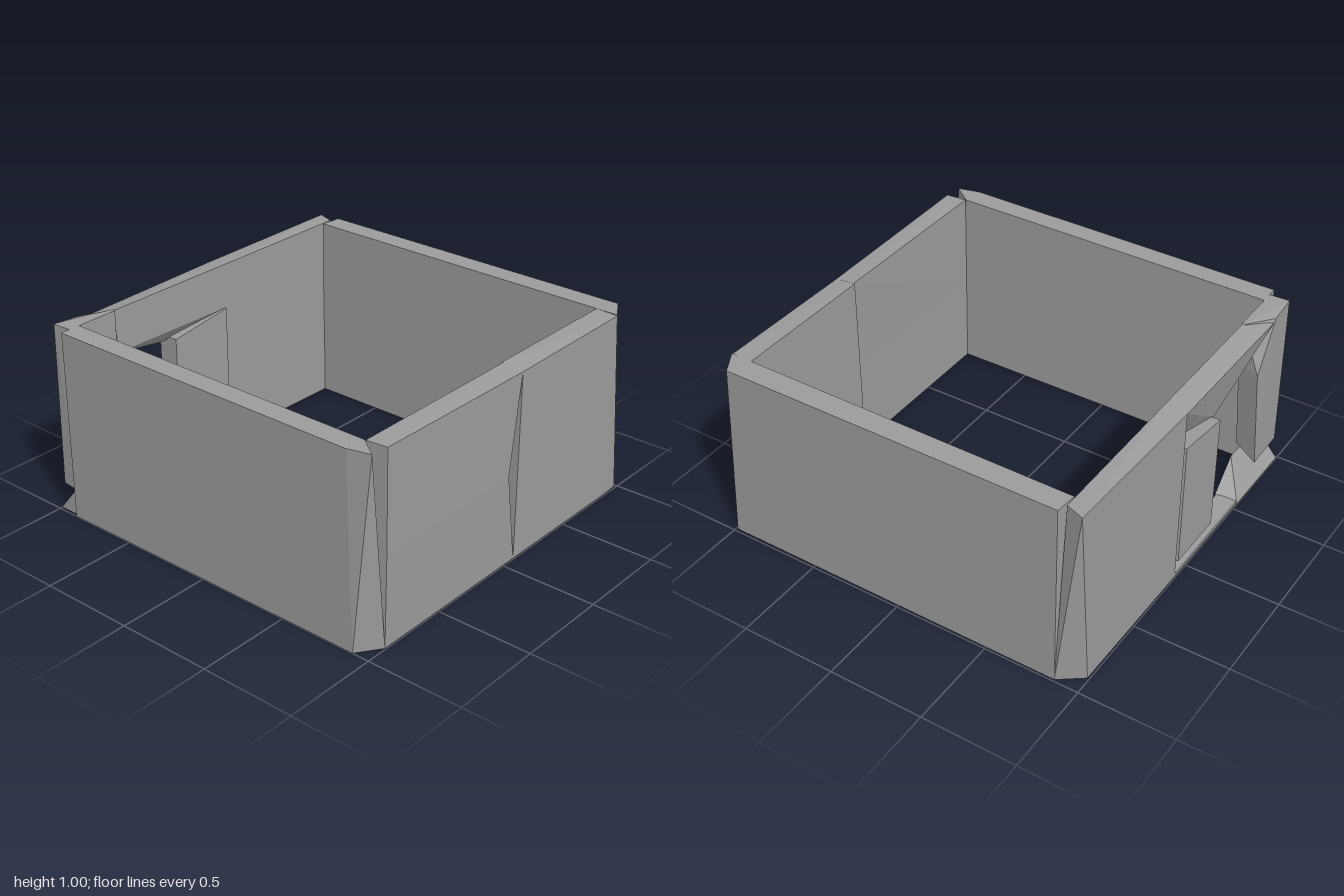
import * as THREE from 'three';
import { ConvexGeometry } from 'three/addons/geometries/ConvexGeometry.js';

export function createModel() {
  const group = new THREE.Group();
  const material = new THREE.MeshStandardMaterial({ color: 0x9b9b9b, flatShading: true });

  // Faceted slab spanning the given corner points
  const slab = (name, corners) => {
    const points = corners.map((c) => new THREE.Vector3(...c));
    const mesh = new THREE.Mesh(new ConvexGeometry(points), material);
    mesh.name = name;
    group.add(mesh);
  };
  // The same plan outline [x, z] repeated at two heights
  const upright = (plan, y0 = 0, y1 = 1) => plan.flatMap(([x, z]) => [[x, y0, z], [x, y1, z]]);
  const rect = (x0, x1, z0, z1) => [[x0, z0], [x1, z0], [x1, z1], [x0, z1]];

  // Side walls with skewed, chipped front corners
  slab('leftWall', [
    ...upright([[-1, -0.88], [-0.89, -0.88], [-0.89, 0.88]]),
    [-1, 1, 0.87], [-0.97, 1, 0.985], [-1, 0, 0.91], [-0.88, 0, 0.995],
  ]);
  slab('rightWall', [
    ...upright([[0.99, -0.87], [0.875, -0.88], [0.875, 0.88], [0.87, 0.995]]),
    [0.99, 1, 0.925], [0.985, 0, 0.99],
  ]);

  // Front wall: two panels, the left one with a bent seam edge
  slab('frontRightPanel', [
    ...upright([[0.085, 0.878], [0.875, 0.878]]),
    [0.085, 0, 0.995], [0.875, 0, 0.995], [0.085, 0.987, 0.995], [0.875, 0.995, 0.995],
  ]);
  for (const [name, y, seamY] of [['frontLeftPanelTop', 1, 0.987], ['frontLeftPanelBottom', 0, 0]]) {
    slab(name, [
      [-0.88, y, 0.995], [0.085, seamY, 0.995], [0.085, y, 0.885], [-0.89, y, 0.885],
      [-0.88, 0.48, 0.998], [0.01, 0.48, 0.998], [0.085, 0.48, 0.89], [-0.89, 0.48, 0.885],
    ]);
  }

  // Solid part of the back wall, with a chipped outer corner
  slab('backWall', [
    ...upright([[0.875, -0.885], [0.1, -0.885]]),
    [0.1, 0, -0.995], [0.1, 0.985, -0.995], [0.975, 1, -0.98], [0.94, 1, -0.885],
    [0.9, 0, -0.99], [0.99, 0, -0.87],
  ]);

  // Doorway: narrow panel, faceted lintel, crooked jamb and broken sill
  slab('doorPanel', [
    ...upright([[-0.27, -0.99], [-0.27, -0.875]], 0.07, 0.71),
    ...upright([[0.065, -0.99], [0.1, -0.875]], 0.07, 0.76),
  ]);
  slab('lintel', [
    [0.1, 0.985, -0.995], [-0.78, 0.97, -0.99], [0.1, 1, -0.885], [-0.66, 1, -0.885],
    [0.1, 0.76, -0.885], [-0.65, 0.77, -0.885], [-0.3, 0.69, -0.94],
  ]);
  slab('doorJamb', [
    [-0.955, 1, -0.985], [-0.8, 0.985, -0.99], [-0.65, 1, -0.895], [-0.66, 1, -0.88], [-0.95, 1, -0.88],
    [-0.65, 0.73, -0.99], [-0.66, 0.76, -0.88],
    [-0.97, 0.14, -0.985], [-0.73, 0.14, -0.99], [-0.73, 0.22, -0.88], [-0.98, 0.14, -0.88],
  ]);
  slab('brokenSill', [
    ...upright(rect(-0.985, -0.54, -1, -0.88), 0, 0.005),
    [-0.985, 0.15, -0.88], [-0.68, 0.17, -0.88], [-0.53, 0.02, -0.88],
  ]);
  slab('threshold', upright(rect(-0.54, 0.1, -0.995, -0.885), 0, 0.02));

  return group;
}
